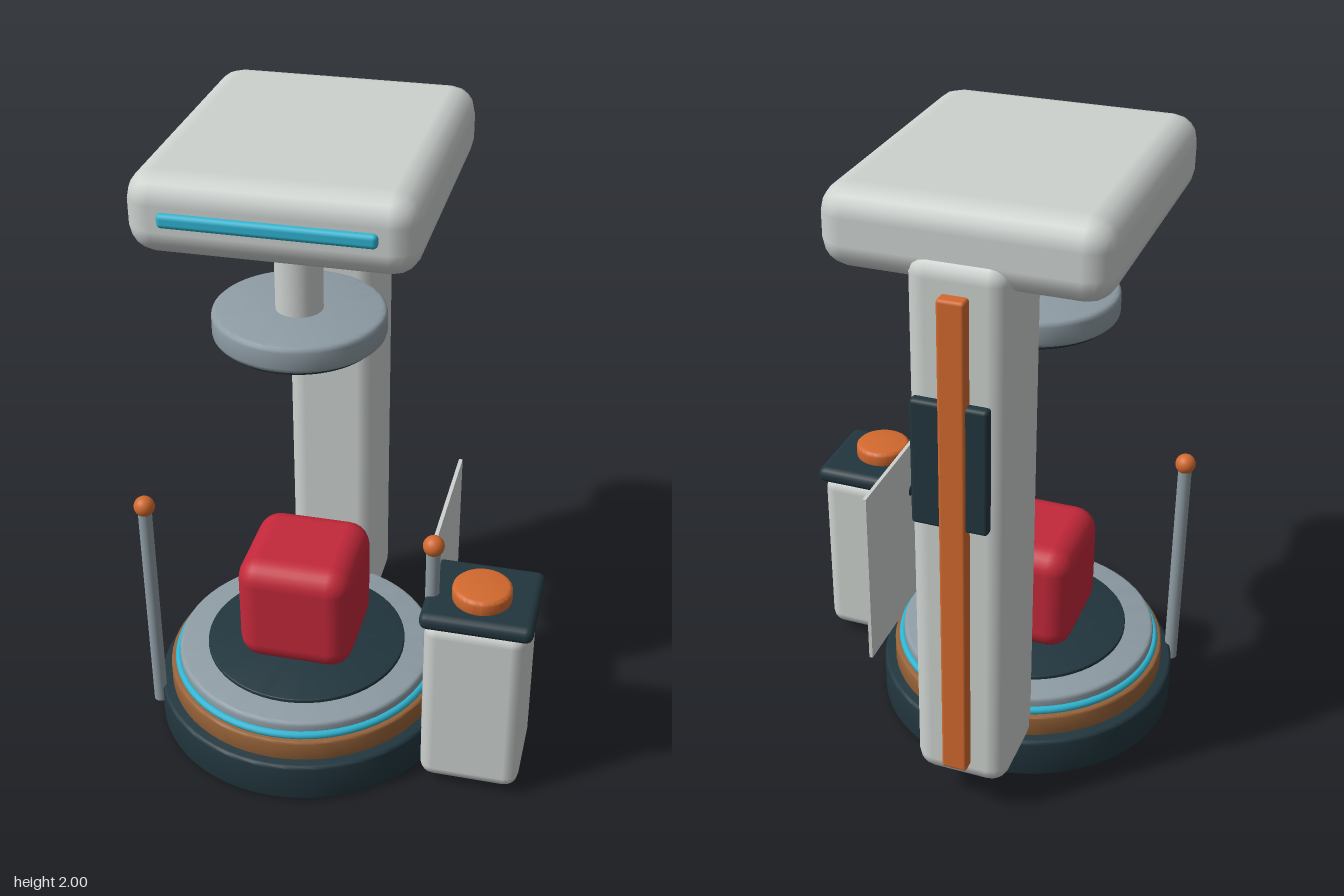
import * as THREE from 'three';
import { RoundedBoxGeometry } from 'three/addons/geometries/RoundedBoxGeometry.js';
import { toCreasedNormals } from 'three/addons/utils/BufferGeometryUtils.js';

const paint = (name, color) => {
  const m = new THREE.MeshStandardMaterial({ color });
  m.name = name;
  return m;
};

export function createModel() {
  const shell = paint('paleGrey', 0xcdd2cf);
  const dark = paint('darkTeal', 0x22363e);
  const slate = paint('slateGrey', 0x8e9ca4);
  const orange = paint('orange', 0xd2692e);
  const copper = paint('copperBrown', 0x966238);
  const cyan = paint('cyan', 0x2fb5d2);
  const red = paint('red', 0xc3283a);

  const model = new THREE.Group();
  model.name = 'scanningStation';
  const CX = -0.147, CZ = 0.11; // axis of the turntable and lamp

  const add = (name, geometry, material, x, y, z) => {
    const mesh = new THREE.Mesh(geometry, material);
    mesh.name = name;
    mesh.position.set(x, y, z);
    model.add(mesh);
    return mesh;
  };

  // Rounded box given by its extents on each axis
  const box = (name, material, [x0, x1], [y0, y1], [z0, z1], radius, segments = 2) =>
    add(name, new RoundedBoxGeometry(x1 - x0, y1 - y0, z1 - z0, segments, radius), material,
      (x0 + x1) / 2, (y0 + y1) / 2, (z0 + z1) / 2);

  // Disc with softened rims, turned around its own axis
  const disc = (name, material, radius, y0, y1, bevel, x = CX, z = CZ) => {
    const h = y1 - y0;
    const profile = [new THREE.Vector2(0, 0)];
    for (let i = 0; i <= 3; i++) {
      const a = (i / 3) * Math.PI / 2;
      profile.push(new THREE.Vector2(radius - bevel + bevel * Math.sin(a), bevel - bevel * Math.cos(a)));
    }
    for (let i = 0; i <= 3; i++) {
      const a = (i / 3) * Math.PI / 2;
      profile.push(new THREE.Vector2(radius - bevel + bevel * Math.cos(a), h - bevel + bevel * Math.sin(a)));
    }
    profile.push(new THREE.Vector2(0, h));
    return add(name, toCreasedNormals(new THREE.LatheGeometry(profile, 64), 0.6), material, x, y0, z);
  };

  // Turntable
  disc('base', dark, 0.492, 0, 0.14, 0.012);
  disc('copperRing', copper, 0.455, 0.13, 0.21, 0.008);
  const glow = add('glowRing', new THREE.TorusGeometry(0.428, 0.013, 10, 64), cyan, CX, 0.219, CZ);
  glow.rotation.x = Math.PI / 2;
  disc('turntable', slate, 0.424, 0.2, 0.262, 0.013);
  disc('turntableMat', dark, 0.328, 0.25, 0.274, 0.003);

  // Sample block
  box('sampleBlock', red, [-0.335, 0.04], [0.28, 0.658], [-0.078, 0.298], 0.075, 3);

  // Column with its back rail and clamp plate
  box('column', shell, [-0.295, 0], [0.115, 1.86], [-0.562, -0.255], 0.06);
  box('backRail', orange, [-0.187, -0.107], [0.188, 1.765], [-0.6, -0.55], 0.01);
  box('clampPlate', dark, [-0.25, -0.022], [1.06, 1.455], [-0.592, -0.555], 0.012);

  // Overhead housing with light strip
  box('head', shell, [-0.555, 0.26], [1.765, 2], [-0.542, 0.422], 0.08);
  box('headLightStrip', cyan, [-0.45, 0.155], [1.864, 1.906], [0.405, 0.438], 0.014);

  // Hanging lamp
  add('lampStem', new THREE.CylinderGeometry(0.071, 0.071, 0.29, 32), shell, CX, 1.635, CZ);
  disc('lampDisc', slate, 0.259, 1.422, 1.505, 0.016);
  disc('lampLens', dark, 0.235, 1.408, 1.44, 0.004);

  // Marker posts
  for (const [side, x] of [['right', -0.604], ['left', 0.308]]) {
    add(side + 'Post', new THREE.CylinderGeometry(0.022, 0.022, 0.77, 20), slate, x, 0.465, 0.312);
    add(side + 'PostBall', new THREE.SphereGeometry(0.033, 24, 16), orange, x, 0.86, 0.312);
  }

  // Thin side screen
  add('sideScreen', new THREE.BoxGeometry(0.012, 0.627, 0.522), shell, 0.3, 0.522, 0.049);

  // Control pedestal
  box('pedestal', shell, [0.3, 0.617], [0.03, 0.648], [0.13, 0.432], 0.045);
  box('pedestalLid', dark, [0.287, 0.634], [0.63, 0.686], [0.124, 0.438], 0.025);
  disc('pushButton', orange, 0.092, 0.675, 0.732, 0.014, 0.46, 0.302);

  return model;
}
